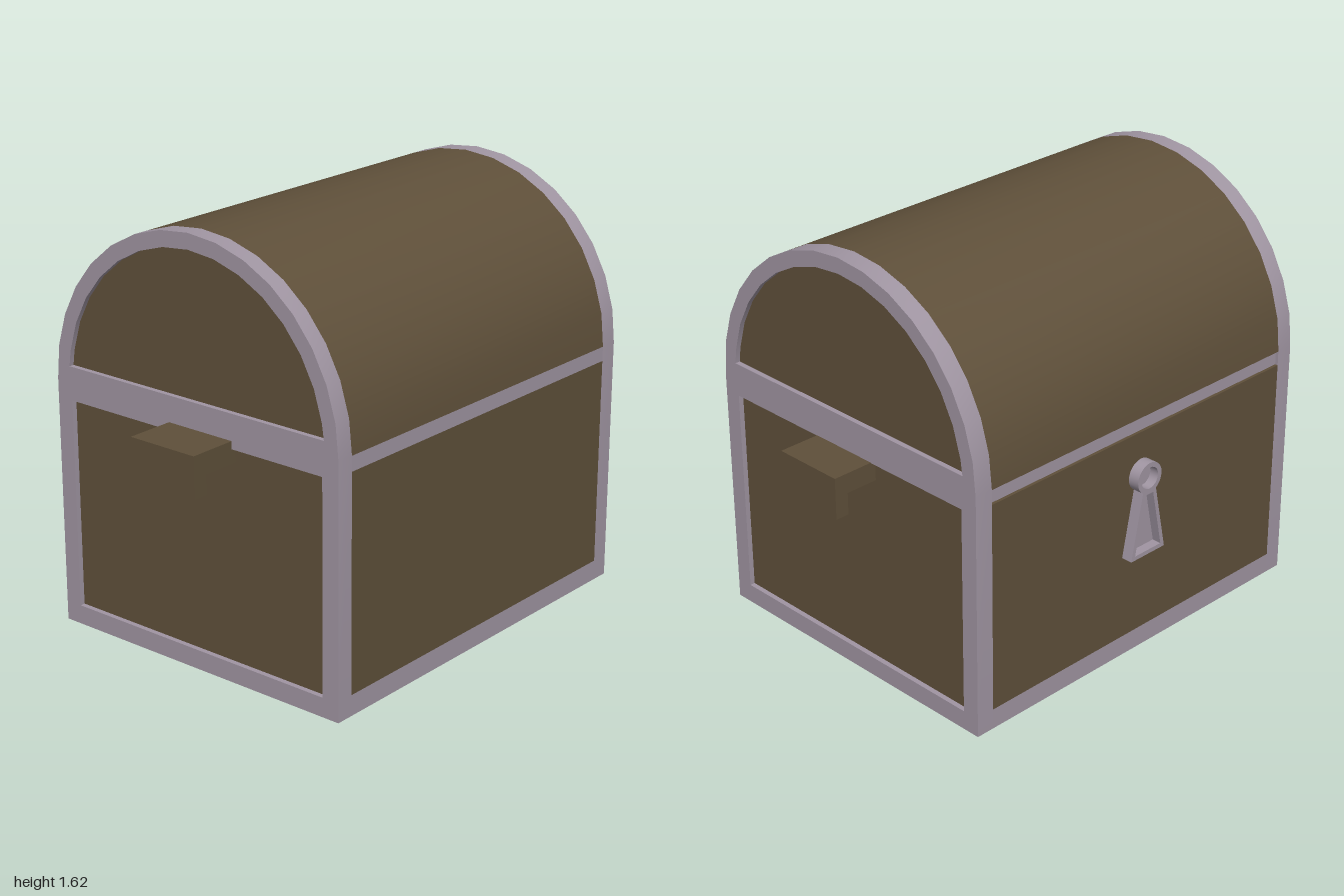
import * as THREE from 'three';
import { toCreasedNormals } from 'three/addons/utils/BufferGeometryUtils.js';

const brown = new THREE.MeshStandardMaterial({ color: 0x5f503a });
const grey = new THREE.MeshStandardMaterial({ color: 0xa095a2 });

const X0 = -0.81, X1 = 0.835;      // outer ends
const IN0 = -0.74, IN1 = 0.76;     // inner faces of the end frames
const Z0 = -0.64, Z1 = 0.685;      // back and front
const ZC = (Z0 + Z1) / 2, R = (Z1 - Z0) / 2, SPRING = 0.962;

// Points of the arch from front to back, as (z, y)
function arch(r, from = 0, to = 16) {
  const pts = [];
  for (let i = from; i <= to; i++) {
    const a = (i / 16) * Math.PI;
    pts.push(new THREE.Vector2(ZC + r * Math.cos(a), SPRING + r * Math.sin(a)));
  }
  return pts;
}

const poly = (pairs) => pairs.map(([x, y]) => new THREE.Vector2(x, y));

export function createModel() {
  const model = new THREE.Group();

  function add(name, geometry, material) {
    const mesh = new THREE.Mesh(geometry, material);
    mesh.name = name;
    model.add(mesh);
    return mesh;
  }

  // Box given by its limits
  function box(name, x0, x1, y0, y1, z0, z1, material) {
    const g = new THREE.BoxGeometry(x1 - x0, y1 - y0, z1 - z0);
    g.translate((x0 + x1) / 2, (y0 + y1) / 2, (z0 + z1) / 2);
    return add(name, g, material);
  }

  // Cross-section in (z, y) swept along x
  function sweep(name, points, holes, x0, x1, material) {
    const shape = new THREE.Shape(points);
    shape.holes = holes.map((h) => new THREE.Path(h));
    const g = new THREE.ExtrudeGeometry(shape, { depth: x1 - x0, bevelEnabled: false });
    g.rotateY(-Math.PI / 2).translate(x1, 0, 0);
    return add(name, toCreasedNormals(g, 0.5), material);
  }

  // Base band with a wooden underside, wooden walls, seam band and vaulted lid
  box('baseBand', IN0, IN1, 0, 0.08, Z0, Z1, [grey, grey, grey, brown, grey, grey]);
  box('chestBody', IN0, IN1, 0.08, 0.905, Z0, Z1, brown);
  box('seamBand', IN0, IN1, 0.905, SPRING, Z0 + 0.012, Z1, grey);
  sweep('lid', arch(R), [], IN0, IN1, brown);

  // Arched metal frames with recessed wooden panels at both ends
  const outline = [...poly([[Z0, 0], [Z1, 0]]), ...arch(R)];
  const lowerHole = poly([[-0.57, 0.075], [-0.57, 0.89], [0.615, 0.89], [0.615, 0.075]]);
  const upperHole = [...poly([[ZC + 0.6, 1.02]]), ...arch(0.603, 1, 15), ...poly([[ZC - 0.6, 1.02]])];
  const panel = [...poly([[Z0 + 0.03, 0.03], [Z1 - 0.03, 0.03]]), ...arch(R - 0.03)];
  for (const [side, x0, x1, p0, p1] of [
    ['right', X0, IN0, X0 + 0.02, IN0],
    ['left', IN1, X1, IN1, X1 - 0.02],
  ]) {
    sweep(side + 'EndFrame', outline, [lowerHole, upperHole], x0, x1, grey);
    sweep(side + 'EndPanel', panel, [], p0, p1, brown);
  }

  // Hooked handles: an L section in (x, y) swept along z
  function handle(name, inner, outer, lip, top, under, bottom, z0, z1) {
    const shape = new THREE.Shape(poly([
      [inner, top], [outer, top], [outer, bottom], [lip, bottom], [lip, under], [inner, under],
    ]));
    const g = new THREE.ExtrudeGeometry(shape, { depth: z1 - z0, bevelEnabled: false });
    add(name, g.translate(0, 0, z0), brown);
  }
  handle('leftHandle', X1 - 0.02, 1, 0.945, 0.892, 0.815, 0.73, -0.115, 0.172);
  handle('rightHandle', X0 + 0.02, -1, -0.938, 0.92, 0.835, 0.76, -0.085, 0.21);

  // Keyhole surround on the back: a ring over a flared frame, with a shallow floor
  const KX = 0.017, KY = 0.735, DEPTH = 0.045;
  const flare = (top, bottom, y0, y1) => poly([[-bottom, y0], [bottom, y0], [top, y1], [-top, y1]]);
  function plate(name, shape, depth) {
    const g = new THREE.ExtrudeGeometry(shape, { depth, bevelEnabled: false, curveSegments: 12 });
    add(name, toCreasedNormals(g.translate(KX, 0, Z0 - depth), 0.6), grey);
  }
  const ring = new THREE.Shape().absarc(0, KY, 0.062, 0, Math.PI * 2);
  ring.holes.push(new THREE.Path().absarc(0, KY, 0.043, 0, Math.PI * 2, true));
  plate('keyholeRing', ring, DEPTH);
  const skirt = new THREE.Shape(flare(0.034, 0.088, 0.42, 0.684));
  skirt.holes.push(new THREE.Path(flare(0.02, 0.068, 0.437, 0.67)));
  plate('keyholeSkirt', skirt, DEPTH);
  plate('keyholeRingFloor', new THREE.Shape().absarc(0, KY, 0.05, 0, Math.PI * 2), 0.008);
  plate('keyholeSkirtFloor', new THREE.Shape(flare(0.028, 0.08, 0.428, 0.678)), 0.008);

  return model;
}
